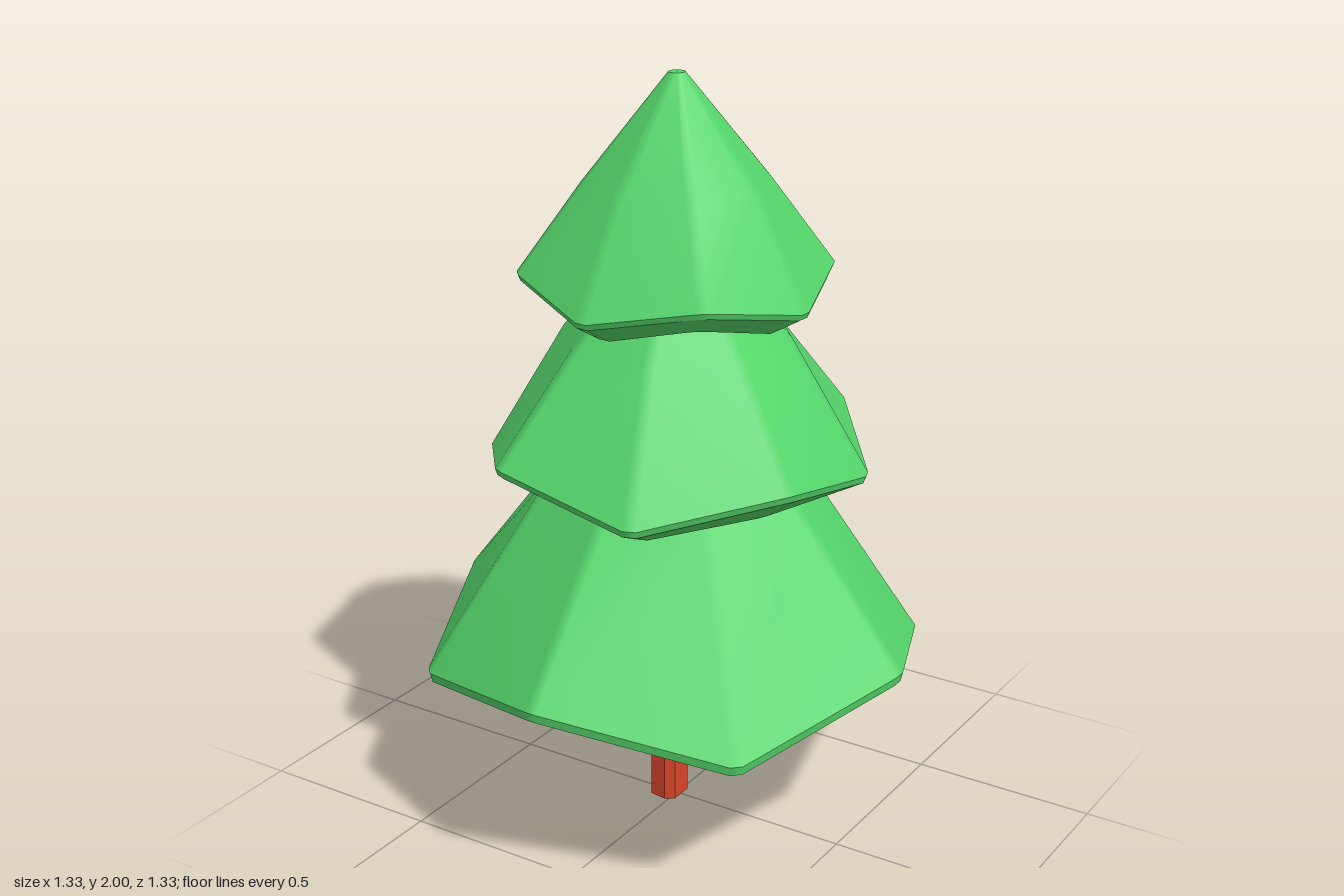
import * as THREE from 'three';
import { mergeGeometries } from 'three/addons/utils/BufferGeometryUtils.js';

const SIDES = 8;

// Eight-cornered ring with narrow chamfers; even corners lie higher than odd ones.
function ring(rot, [rEven, yEven, rOdd = rEven, yOdd = yEven]) {
  const corners = [];
  for (let i = 0; i < SIDES; i++) {
    const a = rot + (i * Math.PI * 2) / SIDES;
    const r = i % 2 ? rOdd : rEven;
    corners.push(new THREE.Vector3(Math.cos(a) * r, i % 2 ? yOdd : yEven, Math.sin(a) * r));
  }
  return corners.flatMap((c, i) => [SIDES - 1, 1].map((step) => {
    const next = corners[(i + step) % SIDES];
    return c.clone().lerp(next, Math.min(0.018 / c.distanceTo(next), 0.3));
  }));
}

// Skin between successive rings, smooth within itself.
function loft(rings) {
  const n = rings[0].length;
  const index = [];
  for (let j = 0; j < rings.length - 1; j++) {
    for (let i = 0; i < n; i++) {
      const a = j * n + i, b = j * n + ((i + 1) % n);
      index.push(a, b, b + n, a, b + n, a + n);
    }
  }
  const geo = new THREE.BufferGeometry().setFromPoints(rings.flat());
  geo.setIndex(index);
  geo.computeVertexNormals();
  return geo;
}

// Hollow skirt of branches: outer skin, bevelled rim, sloping underside, cavity.
function tierGeometry({ rot, tip, kink, rim, bevel, lip, innerKink, innerTip }) {
  const R = (p) => ring(THREE.MathUtils.degToRad(rot), p);
  const [re, ye, ro, yo] = rim;
  const edge = [re - 0.006, ye - bevel, ro - 0.006, yo - bevel];
  const [le, lye, lo, lyo] = lip;
  const lipInner = [le - 0.022, lye + 0.008, lo - 0.022, lyo + 0.008];
  return mergeGeometries([
    loft([R([0.001, tip]), R([0.023, tip])]),
    loft([R([0.023, tip]), R(kink), R(rim)]),
    loft([R(rim), R(edge)]),
    loft([R(edge), R(lip)]),
    loft([R(lip), R(lipInner)]),
    loft([R(lipInner), R(innerKink), R([0.001, innerTip])]),
  ]);
}

const TIERS = [
  { name: 'lowerBranches', rot: 0, tip: 1.25, kink: [0.35, 0.95], rim: [0.672, 0.55, 0.672, 0.445],
    bevel: 0.025, lip: [0.5, 0.43, 0.5, 0.35], innerKink: [0.26, 0.72], innerTip: 0.95 },
  { name: 'middleBranches', rot: 26, tip: 1.62, kink: [0.3, 1.34], rim: [0.525, 1.07, 0.503, 0.99],
    bevel: 0.018, lip: [0.4, 0.97, 0.385, 0.92], innerKink: [0.2, 1.2], innerTip: 1.38 },
  { name: 'upperBranches', rot: 49, tip: 2, kink: [0.245, 1.73], rim: [0.408, 1.513, 0.393, 1.455],
    bevel: 0.015, lip: [0.315, 1.44, 0.303, 1.39], innerKink: [0.15, 1.62], innerTip: 1.75 },
];

export function createModel() {
  const group = new THREE.Group();

  // Branch tiers
  const green = new THREE.MeshStandardMaterial({ color: 0x55d66b });
  for (const tier of TIERS) {
    const mesh = new THREE.Mesh(tierGeometry(tier), green);
    mesh.name = tier.name;
    group.add(mesh);
  }

  // Slim six-sided trunk, slightly off centre
  const section = [[0.014, 0.033], [-0.01, 0.048], [-0.056, 0.042],
    [-0.056, -0.042], [-0.01, -0.048], [0.014, -0.033]];
  const shape = new THREE.Shape(section.map(([x, z]) => new THREE.Vector2(x, z)));
  const trunkGeo = new THREE.ExtrudeGeometry(shape, { depth: 0.9, bevelEnabled: false });
  trunkGeo.rotateX(-Math.PI / 2);
  const trunk = new THREE.Mesh(trunkGeo, new THREE.MeshStandardMaterial({ color: 0xd9442b }));
  trunk.name = 'trunk';
  group.add(trunk);

  return group;
}
